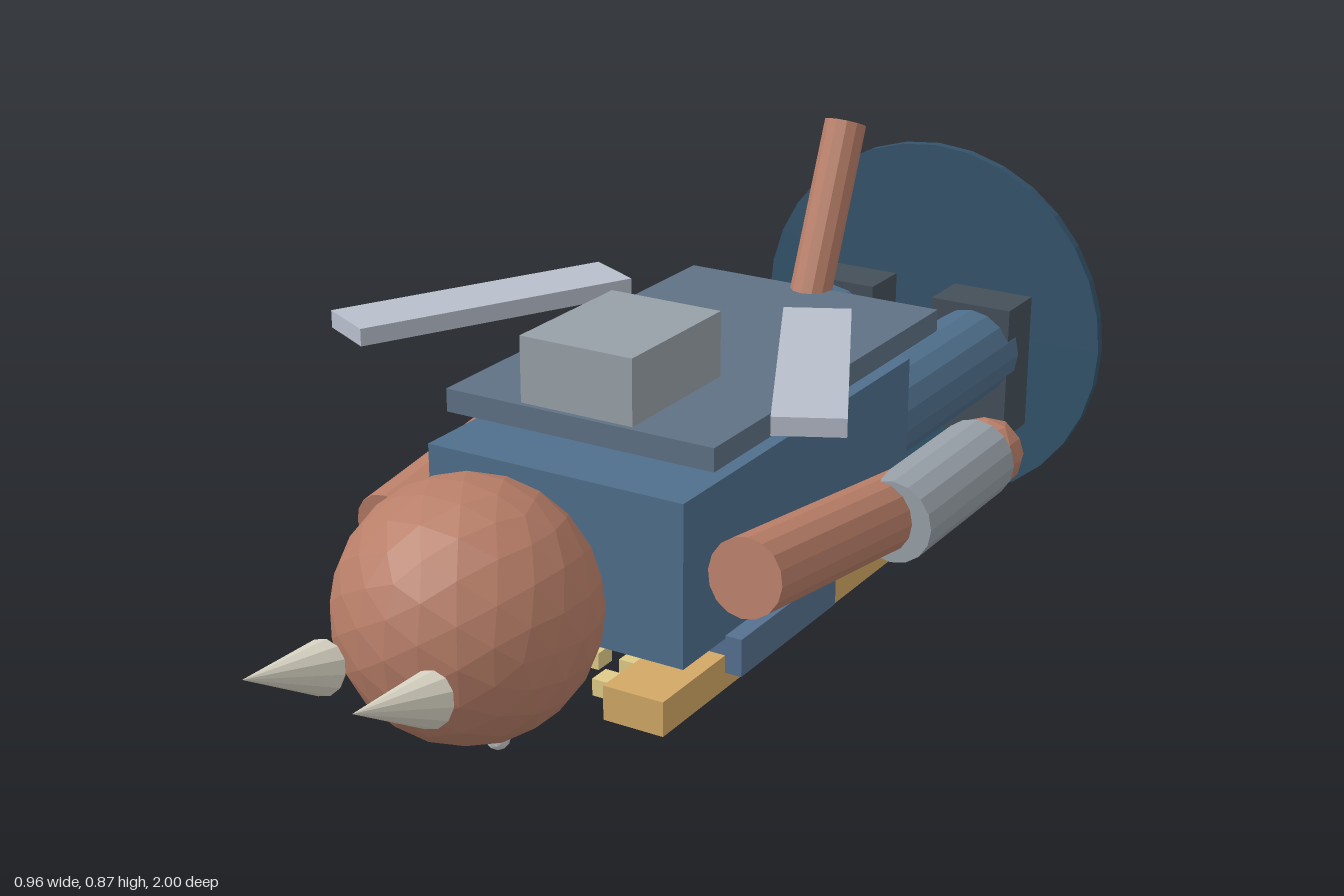
import * as THREE from 'three';

const paint = (color) => new THREE.MeshStandardMaterial({ color, flatShading: true });
const MAT = {
  skin: paint(0xb87e68), suit: paint(0x4f6f8c), plate: paint(0x5f7185), belt: paint(0x56708f),
  disc: paint(0x34536b), boot: paint(0x444f59), steel: paint(0x98a0a8), slat: paint(0xb8bfcc),
  wood: paint(0xd2a866), stud: paint(0xe0cc88), horn: paint(0xd8d4c4), white: paint(0xdddddd),
};

export function createModel() {
  const model = new THREE.Group();
  model.name = 'lyingFigure';

  const add = (name, geometry, material, x, y, z) => {
    const mesh = new THREE.Mesh(geometry, material);
    mesh.name = name;
    mesh.position.set(x, y, z);
    model.add(mesh);
    return mesh;
  };
  const box = (name, mat, size, pos) => add(name, new THREE.BoxGeometry(...size), mat, ...pos);
  const ball = (name, mat, r, detail, pos) =>
    add(name, new THREE.IcosahedronGeometry(r, detail), mat, ...pos);
  // Round bar from point a to point b
  const rod = (name, mat, a, b, rStart, rEnd = rStart, sides = 16) => {
    const from = new THREE.Vector3(...a), to = new THREE.Vector3(...b);
    const dir = to.clone().sub(from);
    const mid = from.clone().add(to).multiplyScalar(0.5);
    const geometry = new THREE.CylinderGeometry(rEnd, rStart, dir.length(), sides);
    const mesh = add(name, geometry, mat, mid.x, mid.y, mid.z);
    mesh.quaternion.setFromUnitVectors(new THREE.Vector3(0, 1, 0), dir.normalize());
    return mesh;
  };

  // Torso with floating back plate, pack and belt plate
  box('torso', MAT.suit, [0.48, 0.28, 0.77], [0, 0.37, -0.015]);
  box('backPlate', MAT.plate, [0.505, 0.04, 0.78], [0, 0.56, -0.09]);
  box('backPack', MAT.steel, [0.21, 0.113, 0.27], [0, 0.641, 0.165]);
  box('beltPlate', MAT.belt, [0.54, 0.066, 0.32], [0, 0.202, 0.08]);

  // Long bar along the underside
  box('underBar', MAT.wood, [0.11, 0.06, 0.85], [0.185, 0.17, 0.005]);

  // Two rows of small studs under the chest
  for (const z of [0.27, 0.35])
    for (let i = 0; i < 4; i++)
      box('stud', MAT.stud, [0.06, 0.03, 0.04], [-0.2 + i * 0.1, 0.155, z]);

  // Neck and faceted head
  rod('neck', MAT.skin, [0, 0.37, 0.36], [0, 0.37, 0.43], 0.07);
  ball('head', MAT.skin, 0.208, 3, [0, 0.37, 0.6]);

  // Tail rising from the lower back
  rod('tail', MAT.skin, [0, 0.42, -0.41], [0, 0.862, -0.595], 0.038, 0.038, 12);

  // Round foot disc
  rod('footDisc', MAT.disc, [0, 0.368, -1], [0, 0.368, -0.98], 0.366, 0.366, 32);

  // Paired parts
  for (const s of [1, -1]) {
    rod('horn', MAT.horn, [s * 0.097, 0.343, 0.828], [s * 0.097, 0.398, 1], 0.043, 0, 12);
    ball('eye', MAT.white, 0.02, 1, [s * 0.063, 0.178, 0.62]);

    // The upper arms tilt in opposite directions
    rod('upperArm', MAT.skin, [s * 0.34, 0.368 + s * 0.037, 0.355],
      [s * 0.34, 0.368 - s * 0.037, -0.18], 0.065);
    rod('forearm', MAT.steel, [s * 0.367, 0.34, -0.088], [s * 0.367, 0.34, -0.42], 0.073);
    ball('hand', MAT.skin, 0.068, 1, [s * 0.367, 0.335, -0.46]);

    rod('leg', MAT.suit, [s * 0.15, 0.368, -0.38], [s * 0.15, 0.368, -0.89], 0.087);
    box('boot', MAT.boot, [0.165, 0.265, 0.105], [s * 0.147, 0.333, -0.907]);

    const wing = box('wingSlat', MAT.slat, [0.113, 0.03, 0.51], [s * 0.315, 0.66, 0.102]);
    wing.rotation.y = s * 0.47;
  }
  return model;
}
